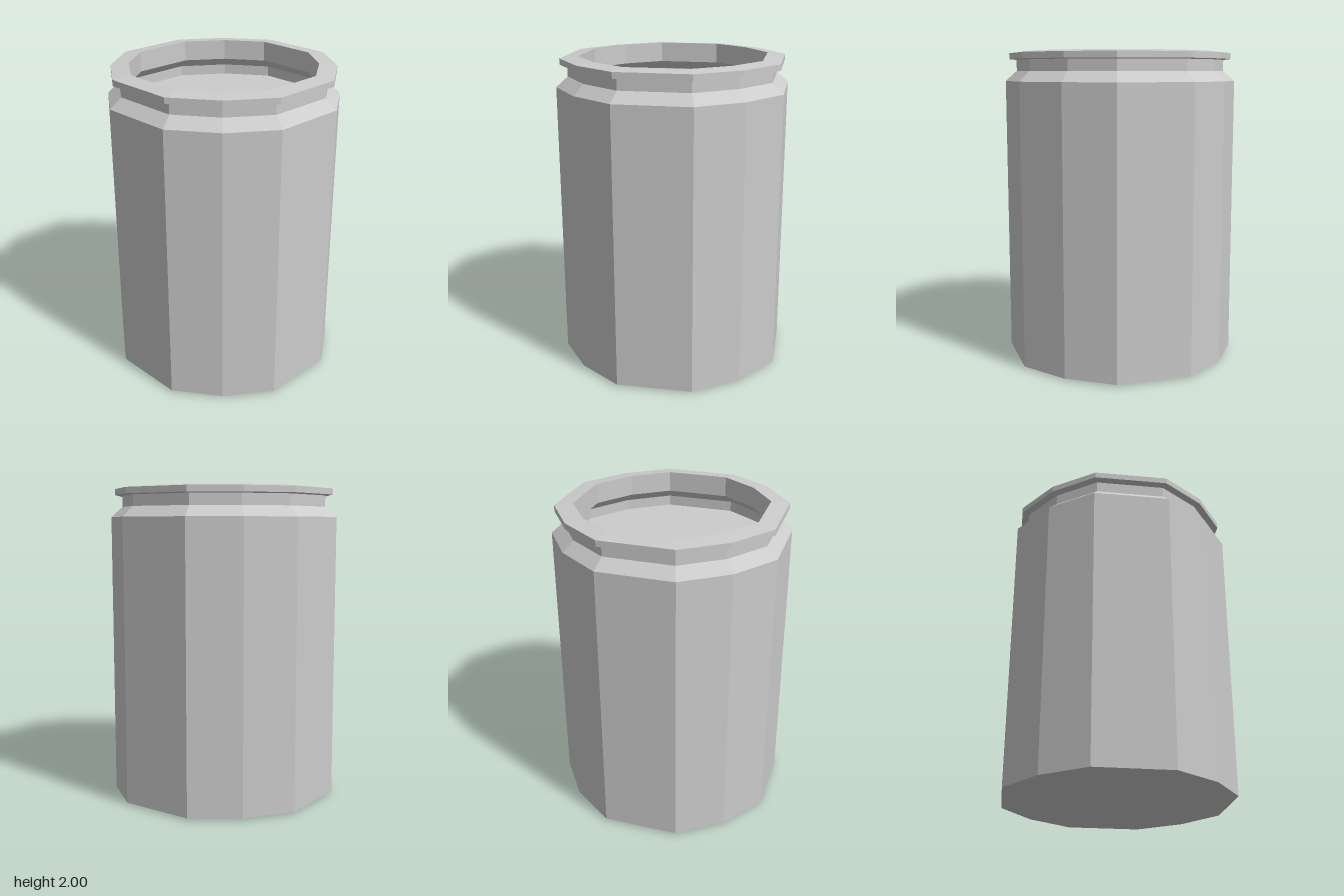
import * as THREE from 'three';

const material = new THREE.MeshStandardMaterial({ color: 0xcccccc, flatShading: true });

// Twelve-sided outline, half-width 1: one quarter turned four times
const outline = [];
for (let q = 0; q < 4; q++) {
  for (const [a, b] of [[1, -0.338], [1, 0.338], [0.725, 0.725]]) {
    const c = Math.round(Math.cos(q * Math.PI / 2)), s = Math.round(Math.sin(q * Math.PI / 2));
    outline.push([a * c - b * s, a * s + b * c]);
  }
}

// Skins a profile of [half-width, height] around the outline.
// Profiles run up the outside and down the inside.
function sweep(name, profile) {
  const positions = [];
  const n = outline.length;
  const at = ([r, y], i) => [outline[i % n][0] * r, y, outline[i % n][1] * r];
  for (let k = 0; k < profile.length - 1; k++) {
    const lo = profile[k], hi = profile[k + 1];
    for (let i = 0; i < n; i++) {
      const a = at(lo, i), b = at(lo, i + 1), c = at(hi, i + 1), d = at(hi, i);
      if (hi[0] > 0) positions.push(...a, ...d, ...c);
      if (lo[0] > 0) positions.push(...a, ...c, ...b);
    }
  }
  const geometry = new THREE.BufferGeometry();
  geometry.setAttribute('position', new THREE.Float32BufferAttribute(positions, 3));
  geometry.computeVertexNormals();
  const mesh = new THREE.Mesh(geometry, material);
  mesh.name = name;
  return mesh;
}

export function createModel() {
  const group = new THREE.Group();
  group.name = 'jar';
  group.add(
    // Slightly bulging base, straight walls and sloped shoulder
    sweep('body', [[0, 0], [0.71, 0.012], [0.71, 1.81], [0.64, 1.875]]),
    // Neck and overhanging lip
    sweep('neck', [[0.64, 1.875], [0.64, 1.945]]),
    sweep('rim', [[0.64, 1.945], [0.685, 1.95], [0.685, 1.988], [0.575, 2]]),
    // Mouth, flaring below the neck
    sweep('innerWall', [[0.575, 2], [0.575, 1.87], [0.645, 1.81], [0.645, 1.745]]),
    // Level surface of the contents
    sweep('contents', [[0.645, 1.745], [0, 1.745]])
  );
  return group;
}
